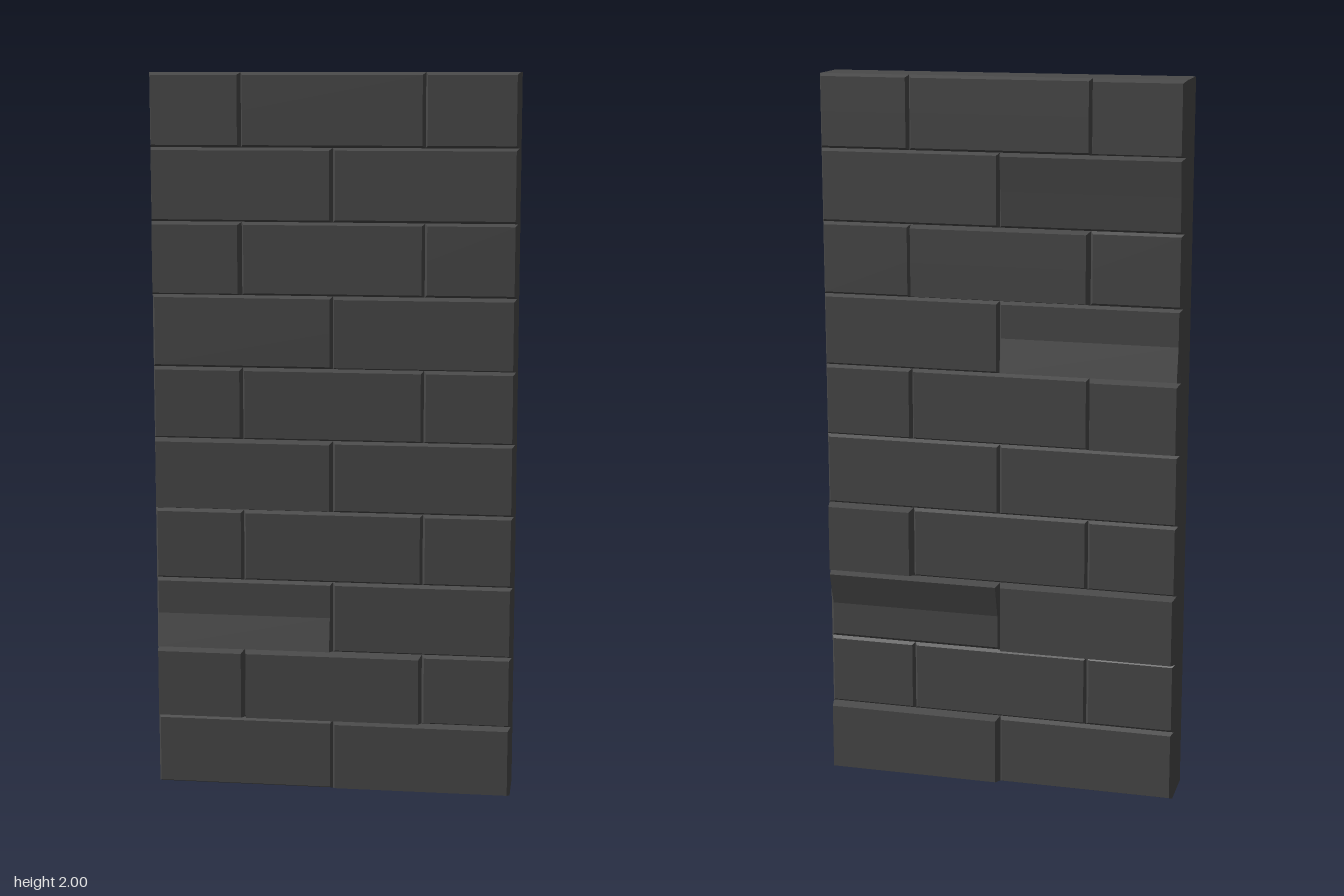
import * as THREE from 'three';

const CORE = 0.065;   // half thickness of the core
const ROW = 0.2;      // course height
const BEVEL = 0.007;  // inset of each brick's face

// Face depths per course, bottom to top, left to right as seen from that side.
// A list [bottom, middle, top] gives a brick with a sloping face.
const FRONT = [
  [0.08, 0.09],
  [0.1, 0.1, 0.08],
  [[0.1, 0.08, 0.08], 0.08],
  [0.08, 0.08, 0.08],
  [0.095, 0.08],
  [0.085, 0.085, 0.085],
  [0.08, 0.095],
  [0.1, 0.085, 0.08],
  [0.095, 0.08],
  [0.09, 0.09, 0.09],
];
const BACK = [
  [0.097, 0.08],
  [0.075, 0.075, 0.072],
  [[0.07, 0.07, 0.097], 0.097],
  [0.097, 0.077, 0.077],
  [0.077, 0.077],
  [0.08, 0.08, 0.097],
  [0.08, [0.097, 0.08, 0.08]],
  [0.08, 0.097, 0.075],
  [0.08, [0.08, 0.088, 0.097]],
  [0.08, 0.08, 0.097],
];

// Bevelled brick face: a six-point outline at the core, inset at the face
function brickGeometry(x0, x1, y0, y1, depth) {
  const [zb, zm, zt] = Array.isArray(depth) ? depth : [depth, depth, depth];
  const ym = (y0 + y1) / 2, b = BEVEL;
  const base = [[x0, y0], [x1, y0], [x1, ym], [x1, y1], [x0, y1], [x0, ym]]
    .map(([x, y]) => [x, y, CORE]);
  const face = [
    [x0 + b, y0 + b, zb], [x1 - b, y0 + b, zb], [x1 - b, ym, zm],
    [x1 - b, y1 - b, zt], [x0 + b, y1 - b, zt], [x0 + b, ym, zm],
  ];
  const pos = [];
  const quad = (p, q, r, s) => pos.push(...p, ...q, ...r, ...p, ...r, ...s);
  for (let i = 0; i < 6; i++) {
    const j = (i + 1) % 6;
    quad(base[i], base[j], face[j], face[i]);
  }
  quad(face[0], face[1], face[2], face[5]);
  quad(face[5], face[2], face[3], face[4]);
  const g = new THREE.BufferGeometry();
  g.setAttribute('position', new THREE.Float32BufferAttribute(pos, 3));
  g.computeVertexNormals();
  return g;
}

// One side of the wall: ten courses in running bond
function brickSide(name, courses, material) {
  const side = new THREE.Group();
  side.name = name;
  courses.forEach((depths, row) => {
    const edges = depths.length === 2 ? [-0.5, 0, 0.5] : [-0.5, -0.25, 0.25, 0.5];
    depths.forEach((depth, i) => {
      const g = brickGeometry(edges[i], edges[i + 1], row * ROW, (row + 1) * ROW, depth);
      const brick = new THREE.Mesh(g, material);
      brick.name = 'brick';
      side.add(brick);
    });
  });
  return side;
}

export function createModel() {
  const wall = new THREE.Group();
  wall.name = 'brickWall';
  const stone = new THREE.MeshStandardMaterial({ color: 0x4a4a4a });
  stone.name = 'darkGreyStone';

  // Solid core behind the bricks
  const core = new THREE.Mesh(new THREE.BoxGeometry(1, 2, CORE * 2), stone);
  core.name = 'wallCore';
  core.position.y = 1;

  const back = brickSide('backBricks', BACK, stone);
  back.rotation.y = Math.PI;
  wall.add(core, brickSide('frontBricks', FRONT, stone), back);
  return wall;
}
